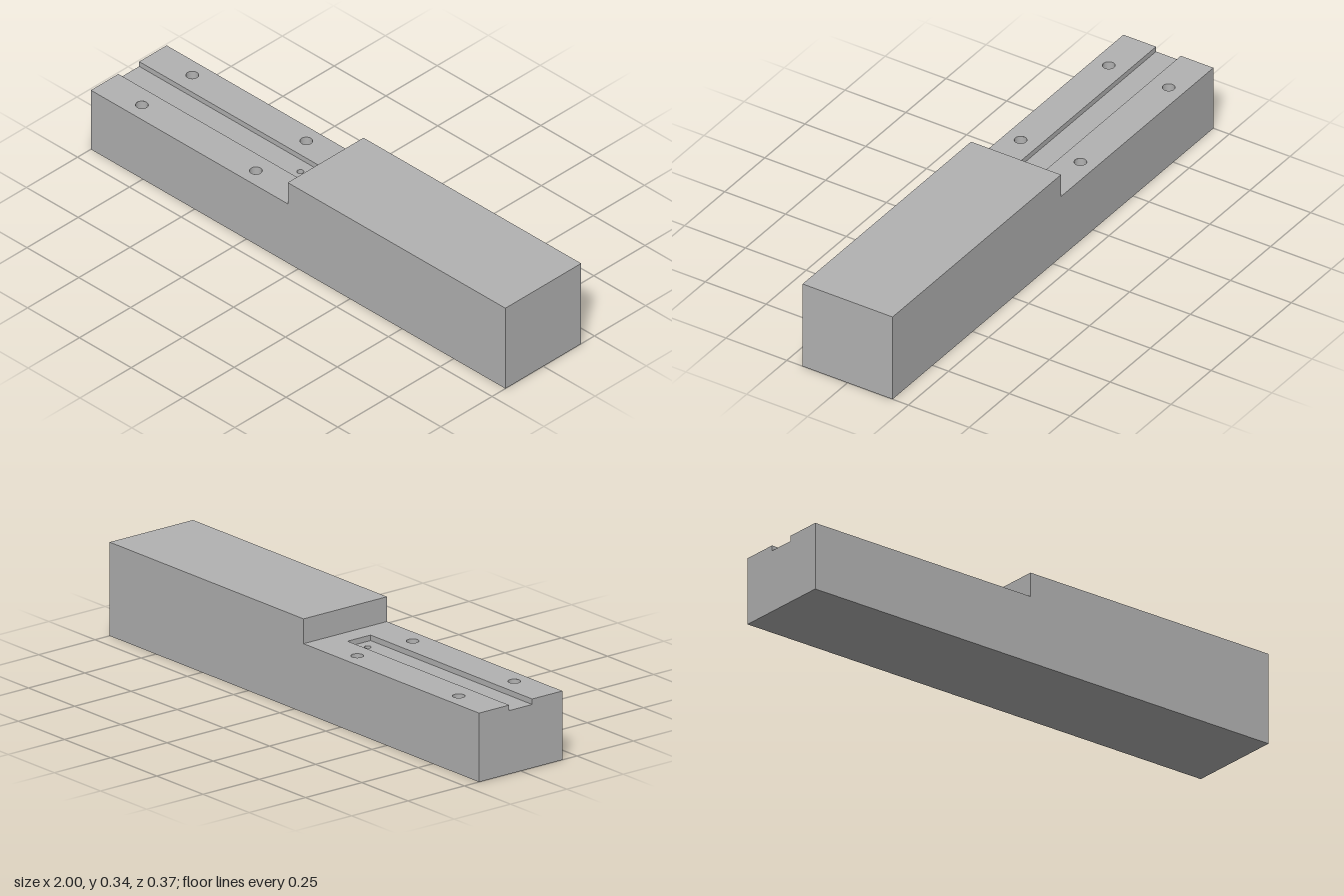
import * as THREE from 'three';

const L = 1, W = 0.185;                  // half length, half width
const HIGH = 0.34, LOW = 0.25, STEP = -0.05;
const GW = 0.051, GEND = -0.125, FLOOR = 0.23; // groove half width, inner end, floor height
const SEG = 32;

export function createModel() {
  const model = new THREE.Group();
  const grey = new THREE.MeshStandardMaterial({ color: 0xb2b2b2, side: THREE.DoubleSide });
  grey.name = 'grey';

  // Flat outline with round holes [x, y, r], turned and moved into place
  const face = (name, points, { rx = 0, ry = 0, at = [0, 0, 0], holes = [] }) => {
    const shape = new THREE.Shape(points.map(p => new THREE.Vector2(...p)));
    for (const [x, y, r] of holes) {
      shape.holes.push(new THREE.Path().absarc(x, y, r, 0, Math.PI * 2, true));
    }
    const geo = new THREE.ShapeGeometry(shape, SEG).rotateX(rx).rotateY(ry).translate(...at);
    const mesh = new THREE.Mesh(geo, grey);
    mesh.name = name;
    model.add(mesh);
  };
  const rect = (x0, y0, x1, y1) => [[x0, y0], [x1, y0], [x1, y1], [x0, y1]];

  // Blind round hole: wall and bottom
  const hole = (name, [x, z, r], top, depth) => {
    const wall = new THREE.Mesh(
      new THREE.CylinderGeometry(r, r, depth, SEG, 1, true).translate(x, top - depth / 2, z), grey);
    const bottom = new THREE.Mesh(
      new THREE.CircleGeometry(r, SEG).rotateX(-Math.PI / 2).translate(x, top - depth, z), grey);
    wall.name = name + 'Wall';
    bottom.name = name + 'Bottom';
    model.add(wall, bottom);
  };

  const UP = -Math.PI / 2;
  const mounts = [];
  for (const x of [-0.815, -0.265]) for (const z of [-0.123, 0.123]) mounts.push([x, z, 0.022]);
  const pin = [-0.172, 0, 0.012];

  // Stepped long sides
  const side = s => [[-L * s, 0], [L * s, 0], [L * s, HIGH], [STEP * s, HIGH], [STEP * s, LOW], [-L * s, LOW]];
  face('frontSide', side(1), { at: [0, 0, W] });
  face('backSide', side(-1), { ry: Math.PI, at: [0, 0, -W] });

  // Ends, underside, raised top and step
  face('grooveEnd', [[-W, 0], [W, 0], [W, LOW], [GW, LOW], [GW, FLOOR], [-GW, FLOOR], [-GW, LOW], [-W, LOW]],
    { ry: -Math.PI / 2, at: [-L, 0, 0] });
  face('blockEnd', rect(-W, 0, W, HIGH), { ry: Math.PI / 2, at: [L, 0, 0] });
  face('underside', rect(-L, -W, L, W), { rx: Math.PI / 2 });
  face('raisedTop', rect(STEP, -W, L, W), { rx: UP, at: [0, HIGH, 0] });
  face('stepRiser', rect(-W, LOW, W, HIGH), { ry: -Math.PI / 2, at: [STEP, 0, 0] });

  // Lower deck around the groove, with mounting holes
  face('lowerDeck', [[-L, -W], [STEP, -W], [STEP, W], [-L, W], [-L, GW], [GEND, GW], [GEND, -GW], [-L, -GW]],
    { rx: UP, at: [0, LOW, 0], holes: mounts });

  // Groove
  face('grooveFloor', rect(-L, -GW, GEND, GW), { rx: UP, at: [0, FLOOR, 0], holes: [pin] });
  face('grooveBackWall', rect(-L, FLOOR, GEND, LOW), { at: [0, 0, -GW] });
  face('grooveFrontWall', rect(-GEND, FLOOR, L, LOW), { ry: Math.PI, at: [0, 0, GW] });
  face('grooveStop', rect(-GW, FLOOR, GW, LOW), { ry: -Math.PI / 2, at: [GEND, 0, 0] });

  // Holes
  mounts.forEach((m, i) => hole('mountHole' + (i + 1), m, LOW, 0.1));
  hole('pinHole', pin, FLOOR, 0.08);

  return model;
}
